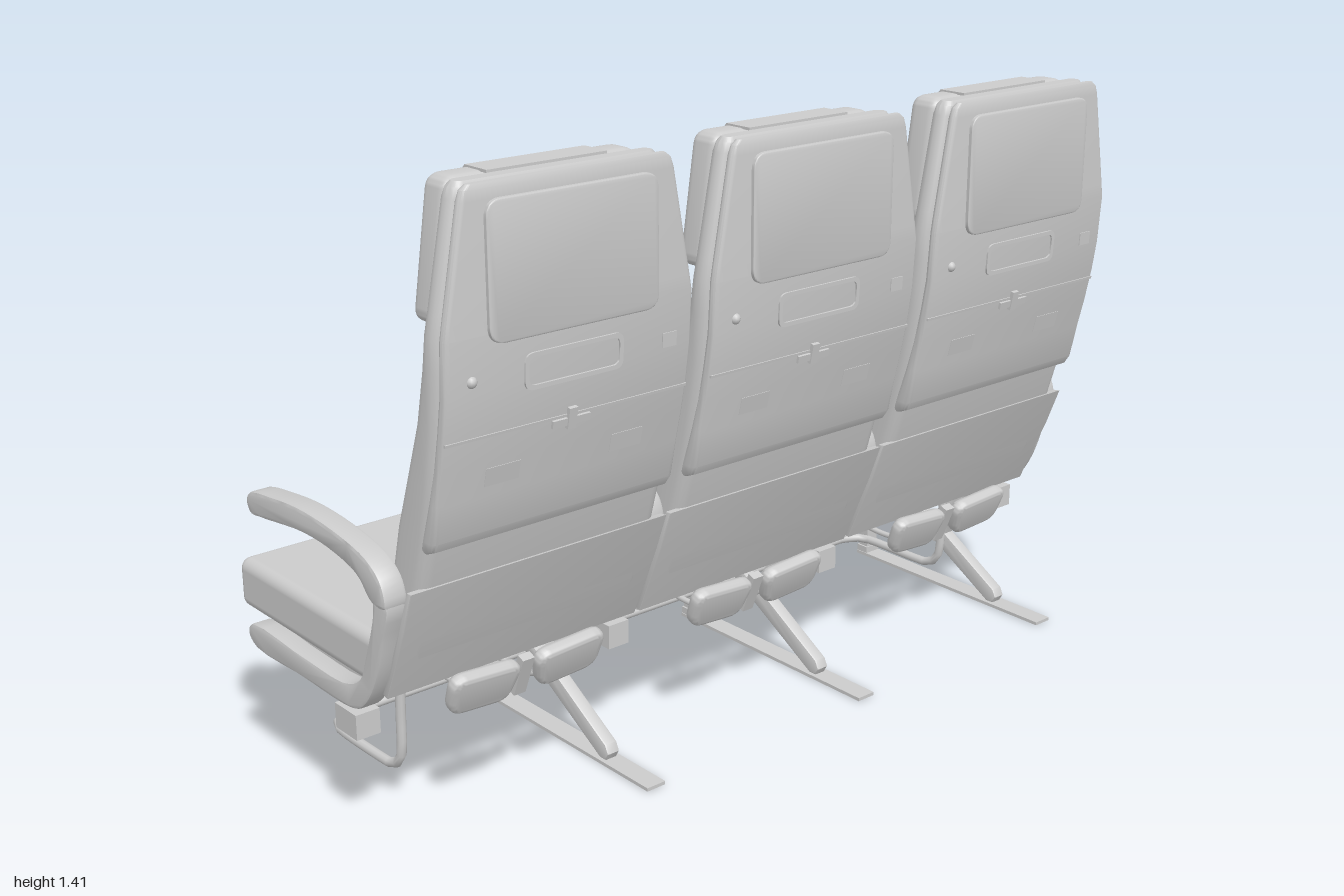
import * as THREE from 'three';
import { toCreasedNormals } from 'three/addons/utils/BufferGeometryUtils.js';
import { RoundedBoxGeometry } from 'three/addons/geometries/RoundedBoxGeometry.js';

const grey = new THREE.MeshStandardMaterial({ color: 0xcccccc });
const V = (x, y, z) => new THREE.Vector3(x, y, z);

function add(parent, name, geometry, x = 0, y = 0, z = 0) {
  const mesh = new THREE.Mesh(geometry, grey);
  mesh.name = name;
  mesh.position.set(x, y, z);
  parent.add(mesh);
  return mesh;
}

const box = (parent, name, w, h, d, x, y, z) => add(parent, name, new THREE.BoxGeometry(w, h, d), x, y, z);

// Stack of rounded rectangles; each row is [y, zFront, zBack, halfWidth]
function loft(rows, radius) {
  const arc = 5, pos = [], idx = [];
  for (const [y, z0, z1, hw] of rows) {
    const r = Math.min(radius, (z1 - z0) * 0.49);
    for (let q = 0; q < 4; q++) {
      const cx = (q === 0 || q === 3) ? hw - r : r - hw;
      const cz = q < 2 ? z1 - r : z0 + r;
      for (let k = 0; k < arc; k++) {
        const a = (q + k / (arc - 1)) * Math.PI / 2;
        pos.push(cx + r * Math.cos(a), y, cz + r * Math.sin(a));
      }
    }
  }
  const n = arc * 4, last = rows.length - 1;
  for (let i = 0; i < last; i++) {
    for (let j = 0; j < n; j++) {
      const a = i * n + j, d = i * n + (j + 1) % n;
      idx.push(a, a + n, d + n, a, d + n, d);
    }
  }
  for (let j = 1; j < n - 1; j++) {
    idx.push(0, j, j + 1, last * n, last * n + j + 1, last * n + j);
  }
  const g = new THREE.BufferGeometry();
  g.setAttribute('position', new THREE.Float32BufferAttribute(pos, 3));
  g.setIndex(idx);
  return toCreasedNormals(g, 0.6);
}

// Side outline of [z, y] points, given a width along x
function sideExtrude(points, width, smooth = false, bevel = 0.004) {
  const pts = points.map(p => new THREE.Vector2(...p));
  const shape = new THREE.Shape();
  if (smooth) {
    const curve = new THREE.CatmullRomCurve3(pts.map(p => V(p.x, p.y, 0)), true);
    shape.setFromPoints(curve.getPoints(60).slice(0, -1).map(p => new THREE.Vector2(p.x, p.y)));
  } else shape.setFromPoints(pts);
  const g = new THREE.ExtrudeGeometry(shape, {
    depth: width - 2 * bevel, bevelEnabled: bevel > 0, bevelSize: bevel, bevelThickness: bevel, bevelOffset: -bevel, bevelSegments: 2,
  });
  g.translate(0, 0, bevel - width / 2).rotateY(-Math.PI / 2);
  return toCreasedNormals(g, 0.6);
}

const tube = (points, r, tension = 0.5) =>
  new THREE.TubeGeometry(new THREE.CatmullRomCurve3(points, false, 'catmullrom', tension), 80, r, 10);

// Upright trapezoid with rounded corners
function trapezoid(bottom, top, y0, y1, r) {
  const c = [[-bottom, y0], [bottom, y0], [top, y1], [-top, y1]].map(p => new THREE.Vector2(...p));
  const s = new THREE.Shape();
  c.forEach((p, i) => {
    const a = p.clone().add(c[(i + 3) % 4].clone().sub(p).setLength(r));
    const b = p.clone().add(c[(i + 1) % 4].clone().sub(p).setLength(r));
    i ? s.lineTo(a.x, a.y) : s.moveTo(a.x, a.y);
    s.quadraticCurveTo(p.x, p.y, b.x, b.y);
  });
  s.closePath();
  return s;
}

const extrude = (shape, depth, bevel = 0) => toCreasedNormals(new THREE.ExtrudeGeometry(shape, {
  depth: depth - 2 * bevel, bevelEnabled: bevel > 0, bevelSize: bevel, bevelThickness: bevel,
  bevelOffset: -bevel, bevelSegments: 5, curveSegments: 8,
}).translate(0, 0, bevel), 0.7);

const shellRows = [
  [0.685, 0.275, 0.29, 0.285], [0.70, 0.285, 0.325, 0.292], [0.72, 0.295, 0.337, 0.295], [0.80, 0.322, 0.354, 0.295],
  [0.87, 0.343, 0.371, 0.295], [0.95, 0.36, 0.387, 0.295], [1.02, 0.372, 0.397, 0.295], [1.13, 0.38, 0.403, 0.295],
  [1.16, 0.38, 0.403, 0.29], [1.38, 0.38, 0.403, 0.25], [1.40, 0.382, 0.402, 0.243], [1.41, 0.385, 0.399, 0.23],
];
const cushionRows = [
  [0.36, 0.105, 0.18, 0.28], [0.46, 0.135, 0.23, 0.295], [0.60, 0.168, 0.28, 0.295], [0.72, 0.2, 0.315, 0.295],
  [0.83, 0.24, 0.34, 0.295], [0.95, 0.283, 0.362, 0.295], [1.06, 0.308, 0.372, 0.295], [1.13, 0.318, 0.374, 0.294],
  [1.17, 0.321, 0.374, 0.287], [1.38, 0.325, 0.374, 0.248], [1.40, 0.328, 0.372, 0.24], [1.41, 0.335, 0.365, 0.23],
];

// Depth of the shell's rear face at height y
function rearZ(y) {
  const i = shellRows.findIndex(r => r[0] >= y);
  const [a, b] = [shellRows[i - 1], shellRows[i]];
  return a[2] + (b[2] - a[2]) * (y - a[0]) / (b[0] - a[0]);
}

function makeSeat() {
  const seat = new THREE.Group();
  add(seat, 'backShell', loft(shellRows, 0.012));
  add(seat, 'backCushion', loft(cushionRows, 0.028));
  add(seat, 'seatCushion', new RoundedBoxGeometry(0.638, 0.115, 0.56, 5, 0.025), 0, 0.4125, -0.13);
  box(seat, 'seatPan', 0.58, 0.03, 0.46, 0, 0.345, -0.09);

  // Head support with its cloth
  add(seat, 'headrest', extrude(trapezoid(0.265, 0.225, 1.135, 1.41, 0.03), 0.082, 0.024), 0, 0, 0.245);
  add(seat, 'headrestCloth', sideExtrude([[0.239, 1.11], [0.239, 1.39], [0.26, 1.414], [0.33, 1.414], [0.33, 1.408],
    [0.262, 1.408], [0.244, 1.388], [0.244, 1.11]], 0.28, false, 0));

  // Rear face fittings
  add(seat, 'screenPanel', extrude(trapezoid(0.2, 0.2, 1.11, 1.38, 0.035), 0.012, 0.003), 0, 0, 0.4);
  const ring = trapezoid(0.117, 0.117, -0.037, 0.037, 0.02);
  ring.holes.push(trapezoid(0.108, 0.108, -0.028, 0.028, 0.016));
  const onBack = (mesh, y) => {
    mesh.position.set(mesh.position.x, y, rearZ(y) - 0.003);
    mesh.rotation.x = -Math.atan2(rearZ(y + 0.02) - rearZ(y - 0.02), 0.04) * -1;
  };
  onBack(add(seat, 'handleRim', extrude(ring, 0.007)), 1.04);
  onBack(box(seat, 'tableSeam', 0.58, 0.006, 0.01, 0, 0, 0), 0.93);
  onBack(box(seat, 'tableLatch', 0.09, 0.016, 0.018, 0, 0, 0), 0.918);
  onBack(box(seat, 'tableLatchTab', 0.02, 0.045, 0.024, 0, 0, 0), 0.925);
  onBack(box(seat, 'socket', 0.036, 0.03, 0.01, 0.235, 0, 0), 1.037);
  onBack(add(seat, 'button', new THREE.SphereGeometry(0.012, 12, 8), -0.235), 1.045);
  for (const s of [-1, 1]) onBack(box(seat, 'tableHinge', 0.08, 0.04, 0.008, s * 0.15, 0, 0), 0.84);

  // Lower rear panel, bowed slightly towards the back
  add(seat, 'lowerBackPanel', sideExtrude([[0.29, 0.612], [0.255, 0.52], [0.18, 0.35], [0.165, 0.355],
    [0.237, 0.52], [0.272, 0.61]], 0.636, false, 0.003));

  // Pair of tilted pods below the back
  for (const s of [-1, 1]) {
    const pod = add(seat, 'rearPod', extrude(trapezoid(0.075, 0.09, -0.05, 0.05, 0.035), 0.035, 0.013), s * 0.11, 0.326, 0.19);
    pod.rotation.set(0.38, 0, s * 0.08);
    add(seat, 'podTube', tube([V(s * 0.09, 0.31, 0.19), V(s * 0.07, 0.265, 0.13), V(s * 0.07, 0.258, 0.04),
      V(s * 0.07, 0.275, -0.04), V(s * 0.07, 0.325, -0.11)], 0.007));
  }
  const clip = box(seat, 'podClip', 0.03, 0.1, 0.02, 0, 0.31, 0.195);
  clip.rotation.x = 0.38;
  return seat;
}

function makeSideFrame() {
  const side = new THREE.Group();
  add(side, 'armrest', sideExtrude([[0.245, 0.575], [0.235, 0.625], [0.19, 0.66], [0.1, 0.682], [-0.05, 0.694],
    [-0.17, 0.686], [-0.27, 0.668], [-0.284, 0.645], [-0.27, 0.622], [-0.22, 0.624], [-0.05, 0.643],
    [0.07, 0.636], [0.15, 0.615], [0.195, 0.575]], 0.054, true, 0.008));
  add(side, 'sideFrame', sideExtrude([[0.245, 0.58], [0.225, 0.50], [0.195, 0.41], [0.16, 0.35], [0.12, 0.315], [0.07, 0.304],
    [-0.1, 0.304], [-0.3, 0.304], [-0.326, 0.328], [-0.31, 0.353], [-0.1, 0.353], [0.07, 0.356], [0.13, 0.385],
    [0.16, 0.45], [0.192, 0.54], [0.2, 0.58]], 0.046, true, 0.006));
  box(side, 'beamBlock', 0.056, 0.056, 0.08, 0, 0.273, 0.077);
  return side;
}

function makeLeg() {
  const leg = new THREE.Group();
  box(leg, 'floorTrack', 0.05, 0.008, 0.645, 0, 0.004, 0);
  box(leg, 'frontLeg', 0.036, 0.31, 0.03, 0, 0.16, -0.306);
  box(leg, 'frontFoot', 0.046, 0.025, 0.036, 0, 0.0125, -0.306);
  add(leg, 'diagonalStrut', sideExtrude([[0.175, 0.025], [0.165, 0.008], [0.145, 0.008], [-0.3, 0.27], [-0.3, 0.31],
    [-0.26, 0.3], [-0.085, 0.185], [-0.05, 0.185], [0.025, 0.3], [0.07, 0.3], [0.0, 0.18], [-0.01, 0.15], [0.165, 0.045]], 0.034));
  return leg;
}

export function createModel() {
  const model = new THREE.Group();
  model.name = 'tripleSeat';
  [-0.647, 0, 0.647].forEach((x, i) => {
    const seat = makeSeat();
    seat.name = ['rightSeat', 'middleSeat', 'leftSeat'][i];
    seat.position.x = x;
    model.add(seat);
  });
  for (const x of [-0.973, -0.325, 0.325, 0.973]) {
    const side = makeSideFrame();
    side.name = 'armrestAssembly';
    side.position.x = x;
    model.add(side);
  }
  for (const x of [-0.39, 0.26, 0.91]) {
    const leg = makeLeg();
    leg.name = 'legAssembly';
    leg.position.x = x;
    model.add(leg);
  }
  // Cross beams carrying the seats
  for (const z of [0.06, -0.285]) {
    add(model, 'crossBeam', new THREE.CylinderGeometry(0.019, 0.019, 1.94, 16).rotateZ(Math.PI / 2), 0, 0.325, z);
  }
  // Bag rail: one bent tube from rear beam, along the floor and back up
  const half = [V(-0.84, 0.32, 0.03), V(-0.84, 0.22, 0.025), V(-0.84, 0.12, 0.02), V(-0.84, 0.085, -0.01),
    V(-0.84, 0.078, -0.06), V(-0.84, 0.078, -0.22), V(-0.825, 0.078, -0.265), V(-0.78, 0.078, -0.285), V(-0.7, 0.078, -0.287)];
  const other = half.map(p => V(-p.x, p.y, p.z)).reverse();
  add(model, 'bagRail', tube([...half, V(0, 0.078, -0.287), ...other], 0.011));
  return model;
}
